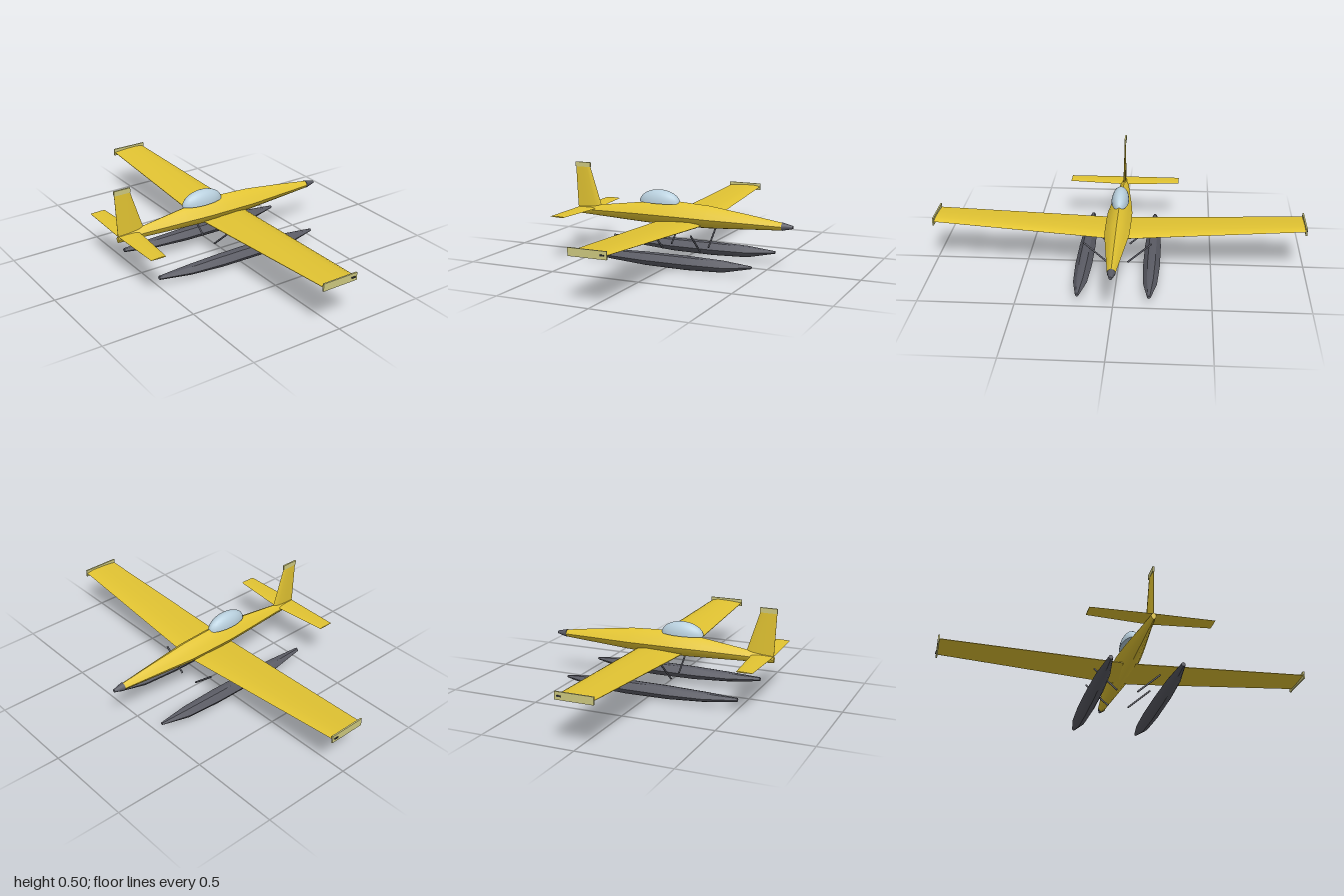
import * as THREE from 'three';
import { toCreasedNormals } from 'three/addons/utils/BufferGeometryUtils.js';

const paint = (name, color) => {
  const m = new THREE.MeshStandardMaterial({ color });
  m.name = name;
  return m;
};

// Skin between equal-length rings of [x, y, z], which turn right-handed about the loft direction
function loft(rings, crease = 0.6) {
  const n = rings[0].length, last = (rings.length - 1) * n, index = [];
  for (let i = 0; i < rings.length - 1; i++) {
    for (let j = 0; j < n; j++) {
      const a = i * n + j, b = i * n + (j + 1) % n;
      index.push(a, b, b + n, a, b + n, a + n);
    }
  }
  for (let j = 1; j < n - 1; j++) index.push(0, j + 1, j, last, last + j, last + j + 1);
  const g = new THREE.BufferGeometry();
  g.setAttribute('position', new THREE.Float32BufferAttribute(rings.flat(2), 3));
  g.setIndex(index);
  return toCreasedNormals(g, crease);
}

// Mirror half a [z, y] outline (top to bottom) into a closed ring
const fullRing = half => [...half, ...half.slice(1, -1).reverse().map(([z, y]) => [-z, y])];

// Stations are [x, top, widest height, bottom, half width]
const hull = (stations, half) => loft(stations.map(([x, top, mid, bot, w]) =>
  fullRing(half).map(([z, y]) => [x, mid + y * (y > 0 ? top - mid : mid - bot), z * w])));

// Aerofoil as [fraction of chord from trailing edge, thickness]
const FOIL = [[1, 0], [0.93, 0.3], [0.75, 0.5], [0.4, 0.4], [0, 0.06],
  [0, -0.06], [0.4, -0.4], [0.75, -0.5], [0.93, -0.3]];

// Stations are [z, y, trailing x, leading x, thickness]
const wingLoft = stations => loft(stations.map(([z, y, x0, x1, t]) =>
  FOIL.map(([u, v]) => [x0 + u * (x1 - x0), y + v * t, z])));

export function createModel() {
  const yellow = paint('yellow', 0xe2c432);
  const pale = paint('pale yellow', 0xcfca80);
  const glass = paint('canopy glass', 0xb9d0de);
  const grey = paint('dark grey', 0x5a5b64);
  const black = paint('black', 0x33343a);

  const model = new THREE.Group();
  model.name = 'floatplane';
  const add = (name, geometry, material, x = 0, y = 0, z = 0) => {
    const m = new THREE.Mesh(geometry, material);
    m.name = name;
    m.position.set(x, y, z);
    model.add(m);
    return m;
  };

  // Fuselage with a rounded diamond section
  add('fuselage', hull([
    [-0.63, 0.25, 0.236, 0.215, 0.014],
    [-0.48, 0.272, 0.242, 0.208, 0.028],
    [-0.24, 0.305, 0.25, 0.197, 0.055],
    [-0.1, 0.322, 0.252, 0.192, 0.067],
    [0.0, 0.325, 0.252, 0.19, 0.068],
    [0.17, 0.316, 0.25, 0.194, 0.066],
    [0.4, 0.286, 0.245, 0.208, 0.041],
    [0.58, 0.26, 0.24, 0.219, 0.021],
  ], [[0, 1], [0.36, 0.8], [0.7, 0.42], [1, 0], [0.74, -0.5], [0.36, -0.88], [0, -1]]), yellow);

  // Nose cone
  const nose = add('noseCone', new THREE.CylinderGeometry(0.008, 0.022, 0.058, 12), grey, 0.608, 0.24, 0);
  nose.rotation.z = -Math.PI / 2;

  // Half-ellipsoid canopy with a closed base
  const dome = [new THREE.Vector2(0, 0)];
  for (let i = 0; i <= 8; i++) {
    const a = i / 8 * Math.PI / 2;
    dome.push(new THREE.Vector2(Math.cos(a), Math.sin(a)));
  }
  const canopy = add('canopy', toCreasedNormals(new THREE.LatheGeometry(dome, 24), 0.8), glass, -0.12, 0.312, 0);
  canopy.scale.set(0.12, 0.071, 0.048);

  // Main wing with dihedral, running through the fuselage
  add('wing', wingLoft([
    [-0.99, 0.256, -0.103, 0.092, 0.02],
    [-0.06, 0.211, -0.128, 0.138, 0.032],
    [0.06, 0.211, -0.128, 0.138, 0.032],
    [0.99, 0.256, -0.103, 0.092, 0.02],
  ]), yellow);

  // Tailplane
  add('tailplane', wingLoft([
    [-0.315, 0.25, -0.62, -0.535, 0.006],
    [0, 0.248, -0.627, -0.51, 0.01],
    [0.315, 0.25, -0.62, -0.535, 0.006],
  ]), yellow);

  // Fin, lofted upwards: [y, trailing x, leading x, thickness]
  add('fin', loft([
    [0.235, -0.627, -0.465, 0.016],
    [0.27, -0.63, -0.482, 0.015],
    [0.48, -0.64, -0.55, 0.007],
  ].map(([y, x0, x1, t]) => FOIL.map(([u, v]) => [x0 + u * (x1 - x0), y, -v * t]))), yellow);
  add('finCap', new THREE.BoxGeometry(0.092, 0.026, 0.009), pale, -0.595, 0.491, 0);

  for (const s of [1, -1]) {
    const side = s > 0 ? 'Front' : 'Back';

    // Wing tip plate and its small lamp
    add('tipPlate' + side, new THREE.BoxGeometry(0.202, 0.04, 0.008), pale, -0.005, 0.257, s * 0.992);
    add('tipLamp' + side, new THREE.BoxGeometry(0.022, 0.007, 0.004), black, 0.073, 0.257, s * 0.998);

    // Float with a flat deck and a V bottom
    add('float' + side, hull([
      [-0.5, 0.066, 0.055, 0.044, 0.012],
      [-0.32, 0.073, 0.044, 0.019, 0.036],
      [-0.12, 0.079, 0.04, 0.005, 0.044],
      [0.12, 0.08, 0.04, 0.002, 0.045],
      [0.32, 0.075, 0.042, 0.01, 0.036],
      [0.48, 0.06, 0.053, 0.046, 0.009],
    ], [[0, 1], [0.45, 0.86], [0.75, 0.42], [1, 0], [0.72, -0.55], [0.35, -0.85], [0, -1]]), grey, 0, 0, s * 0.182);

    // Slanted struts
    for (const x of [-0.077, 0.143]) {
      const strut = add('strut' + side, new THREE.CylinderGeometry(0.005, 0.005, 0.167, 8), grey, x, 0.13, s * 0.118);
      strut.rotation.x = s * Math.atan2(0.125, 0.11);
    }
  }
  return model;
}
